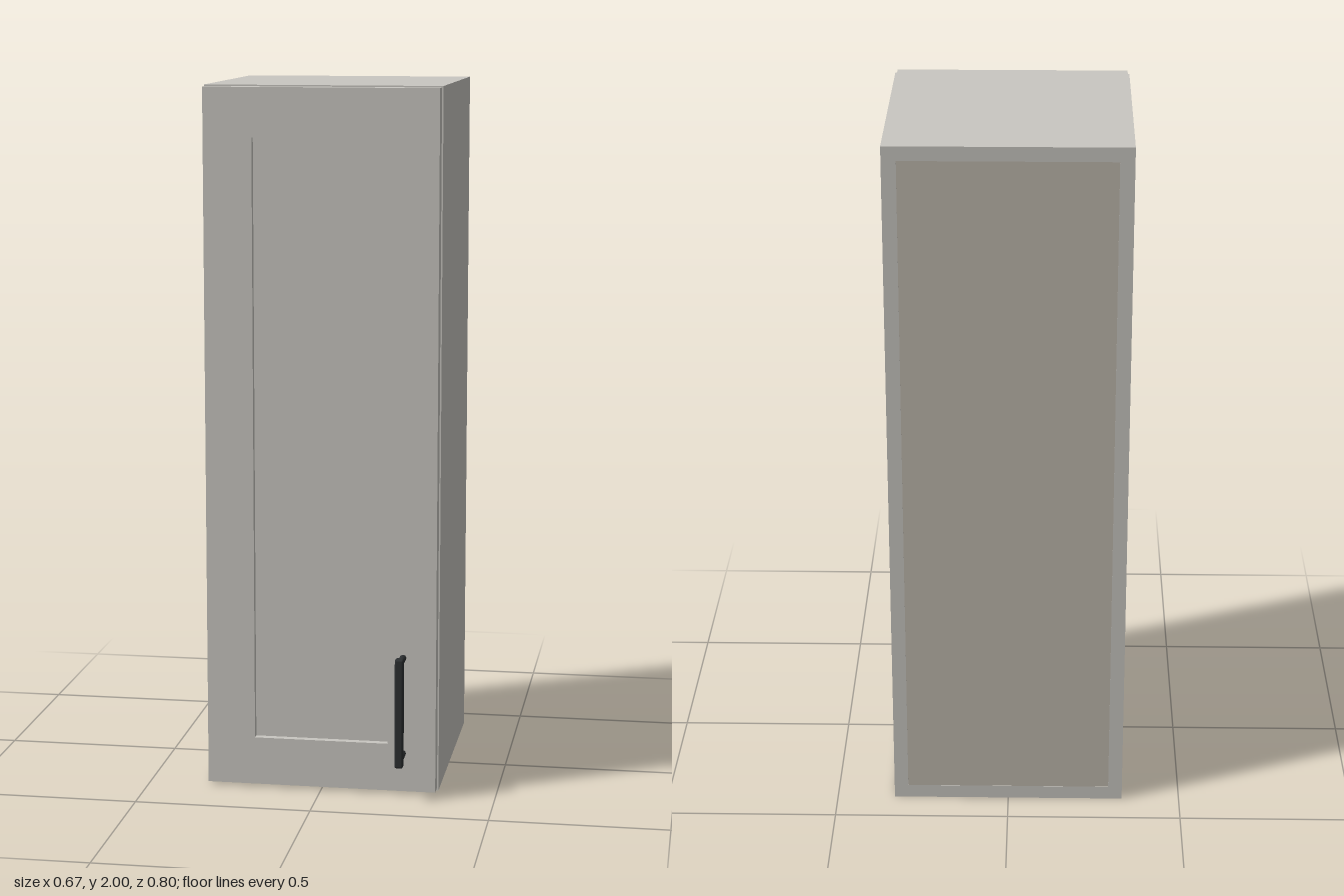
import * as THREE from 'three';
import { RoundedBoxGeometry } from 'three/addons/geometries/RoundedBoxGeometry.js';

const paint = new THREE.MeshStandardMaterial({ color: 0xc9c7c1 });
const liner = new THREE.MeshStandardMaterial({ color: 0xbfb8ac });
const metal = new THREE.MeshStandardMaterial({ color: 0x2c2f31 });

// Box given by its lower and upper limits on each axis
function panel(parent, name, [x0, x1], [y0, y1], [z0, z1], material = paint) {
  const mesh = new THREE.Mesh(new THREE.BoxGeometry(x1 - x0, y1 - y0, z1 - z0), material);
  mesh.position.set((x0 + x1) / 2, (y0 + y1) / 2, (z0 + z1) / 2);
  mesh.name = name;
  parent.add(mesh);
}

function createCarcass() {
  const carcass = new THREE.Group();
  carcass.name = 'carcass';
  const W = 0.333, T = 0.04, B = -0.4, F = 0.266, inner = W - T;
  panel(carcass, 'leftSide', [inner, W], [0, 2], [B, F]);
  panel(carcass, 'rightSide', [-W, -inner], [0, 2], [B, F]);
  panel(carcass, 'topPanel', [-inner, inner], [2 - T, 2], [B, F]);
  panel(carcass, 'bottomPanel', [-inner, inner], [0, T], [B, F]);
  panel(carcass, 'backPanel', [-inner, inner], [T, 2 - T], [B + 0.001, B + 0.02], liner);
  return carcass;
}

function createDoor() {
  const door = new THREE.Group();
  door.name = 'door';
  const W = 0.329, inner = 0.192, y0 = 0.008, y1 = 1.996, rail = 0.138;
  const depth = [0.267, 0.311];
  // Frame of two stiles and two rails
  panel(door, 'leftStile', [inner, W], [y0, y1], depth);
  panel(door, 'rightStile', [-W, -inner], [y0, y1], depth);
  panel(door, 'topRail', [-inner, inner], [y1 - rail, y1], depth);
  panel(door, 'bottomRail', [-inner, inner], [y0, y0 + rail], depth);
  // Recessed centre
  panel(door, 'centrePanel', [-inner, inner], [y0 + rail, y1 - rail], [0.272, 0.291]);
  return door;
}

function createHandle() {
  const handle = new THREE.Group();
  handle.name = 'handle';
  handle.position.x = 0.235;
  const bar = new THREE.Mesh(new RoundedBoxGeometry(0.024, 0.315, 0.027, 2, 0.005), metal);
  bar.name = 'handleBar';
  bar.position.set(0, 0.26, 0.3865);
  handle.add(bar);
  // Posts joining the bar to the door
  for (const y of [0.12, 0.4]) {
    const post = new THREE.Mesh(new THREE.CylinderGeometry(0.0095, 0.0095, 0.07, 16), metal);
    post.name = 'handlePost';
    post.rotation.x = Math.PI / 2;
    post.position.set(0, y, 0.345);
    handle.add(post);
  }
  return handle;
}

export function createModel() {
  const cabinet = new THREE.Group();
  cabinet.name = 'wallCabinet';
  cabinet.add(createCarcass(), createDoor(), createHandle());
  return cabinet;
}
